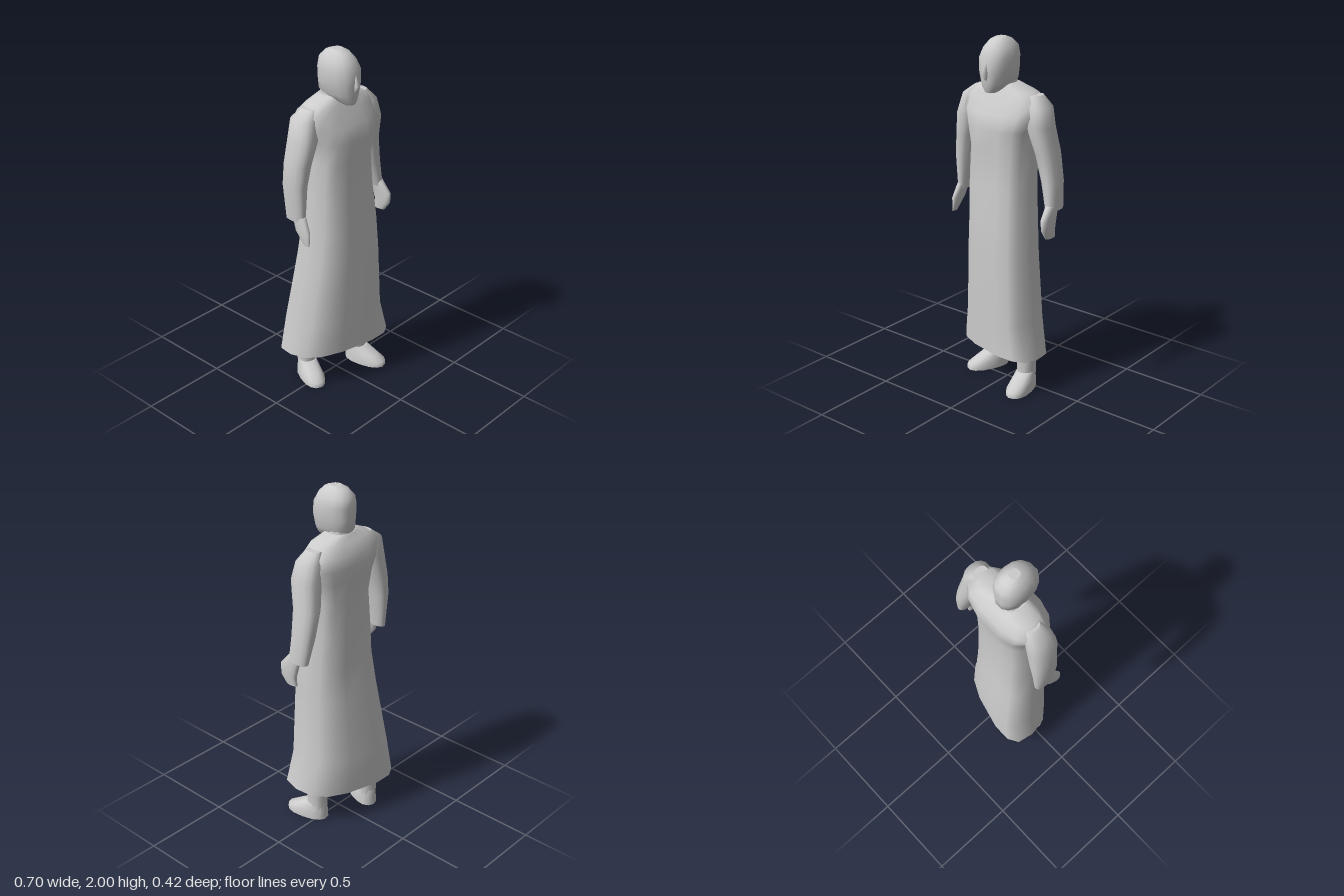
import * as THREE from 'three';

const SIDES = 14;
const grey = new THREE.MeshStandardMaterial({ color: 0xcccccc });
grey.name = 'pale grey';

// Smooth skin through rings [y, cx, cz, rx, rz, shear, tilt], listed upwards.
// A higher power makes the rings squarer; ends are closed with flat caps.
function loft(name, rings, power = 2.3) {
  const pos = [], idx = [];
  const bend = v => Math.sign(v) * Math.abs(v) ** (2 / power);
  const addRing = ([y, cx, cz, rx, rz, shear = 0, tilt = 0]) => {
    const start = pos.length / 3;
    for (let j = 0; j < SIDES; j++) {
      const a = (j / SIDES) * Math.PI * 2;
      const x = rx * bend(Math.cos(a));
      const z = rz * bend(Math.sin(a)) + shear * x;
      pos.push(cx + x, y + tilt * z, cz + z);
    }
    return start;
  };
  const starts = rings.map(addRing);
  for (let i = 0; i < rings.length - 1; i++) {
    for (let j = 0; j < SIDES; j++) {
      const k = (j + 1) % SIDES;
      const a = starts[i] + j, b = starts[i] + k, c = starts[i + 1] + j, d = starts[i + 1] + k;
      idx.push(a, c, b, b, c, d);
    }
  }
  for (const top of [false, true]) {
    const ring = top ? rings[rings.length - 1] : rings[0];
    const s = addRing(ring), mid = pos.length / 3;
    pos.push(ring[1], ring[0], ring[2]);
    for (let j = 0; j < SIDES; j++) {
      const k = (j + 1) % SIDES;
      if (top) idx.push(mid, s + k, s + j);
      else idx.push(mid, s + j, s + k);
    }
  }
  const geo = new THREE.BufferGeometry();
  geo.setAttribute('position', new THREE.Float32BufferAttribute(pos, 3));
  geo.setIndex(idx);
  geo.computeVertexNormals();
  const mesh = new THREE.Mesh(geo, grey);
  mesh.name = name;
  return mesh;
}

// Lower leg and foot, turned outwards at the ankle
function leg(name, x, z, turn) {
  const group = new THREE.Group();
  group.name = name;
  group.add(loft('foot', [
    [0, 0, 0.065, 0.066, 0.13],
    [0.03, 0, 0.065, 0.066, 0.128],
    [0.06, 0, 0.04, 0.058, 0.102],
    [0.1, 0, 0.005, 0.05, 0.062],
  ]));
  group.add(loft('shin', [
    [0.06, 0, 0, 0.05, 0.058],
    [0.13, 0, 0, 0.052, 0.056],
    [0.26, 0, 0, 0.062, 0.064],
  ]));
  group.position.set(x, 0, z);
  group.rotation.y = turn;
  return group;
}

export function createModel() {
  const model = new THREE.Group();
  model.name = 'robedFigure';

  // Long robe, its hem twisted to follow the stride
  model.add(loft('robe', [
    [0.21, -0.015, 0, 0.292, 0.182, 0.25, 0.1],
    [0.42, -0.02, 0, 0.25, 0.185, 0.22],
    [0.8, -0.01, 0.025, 0.22, 0.165, 0.15],
    [1.0, -0.005, 0.03, 0.205, 0.155, 0.1],
    [1.2, -0.01, 0.025, 0.195, 0.145, 0.05],
    [1.4, -0.005, 0.02, 0.187, 0.138],
    [1.52, 0, 0.02, 0.205, 0.156],
    [1.6, -0.005, 0.005, 0.24, 0.145],
    [1.67, -0.01, -0.01, 0.24, 0.12],
    [1.72, -0.01, 0, 0.19, 0.09],
    [1.755, -0.02, 0, 0.08, 0.065],
  ], 2.8));
  model.add(loft('neck', [
    [1.72, -0.02, 0, 0.075, 0.068],
    [1.82, -0.02, 0, 0.06, 0.058],
  ]));

  // Head
  model.add(loft('head', [
    [1.715, -0.02, 0.115, 0.03, 0.03],
    [1.74, -0.02, 0.058, 0.058, 0.098],
    [1.77, -0.02, 0.04, 0.075, 0.12],
    [1.83, -0.02, 0.043, 0.088, 0.123],
    [1.9, -0.02, 0.04, 0.093, 0.12],
    [1.95, -0.02, 0.03, 0.078, 0.105],
    [1.985, -0.02, 0.03, 0.052, 0.07],
    [2.0, -0.02, 0.03, 0.028, 0.03],
  ]));
  model.add(loft('nose', [
    [1.785, -0.02, 0.152, 0.012, 0.01],
    [1.825, -0.02, 0.163, 0.017, 0.021],
    [1.885, -0.02, 0.152, 0.006, 0.006],
  ], 2));

  // Sleeves
  model.add(loft('leftSleeve', [
    [1.1, 0.318, -0.005, 0.032, 0.065],
    [1.25, 0.293, -0.02, 0.05, 0.07],
    [1.4, 0.263, -0.018, 0.06, 0.077],
    [1.55, 0.235, 0.01, 0.068, 0.085],
    [1.65, 0.222, 0, 0.06, 0.075],
    [1.71, 0.19, -0.005, 0.035, 0.045],
  ]));
  model.add(loft('rightSleeve', [
    [1.1, -0.305, -0.01, 0.028, 0.065],
    [1.3, -0.303, -0.015, 0.048, 0.075],
    [1.42, -0.284, -0.012, 0.058, 0.08],
    [1.55, -0.256, 0, 0.068, 0.085],
    [1.66, -0.235, -0.01, 0.058, 0.075],
    [1.71, -0.19, -0.01, 0.035, 0.045],
  ]));

  // Hands
  model.add(loft('leftHand', [
    [0.95, 0.325, 0.04, 0.015, 0.038],
    [1.0, 0.327, 0.06, 0.022, 0.053],
    [1.06, 0.325, 0.055, 0.024, 0.063],
    [1.13, 0.318, 0.015, 0.025, 0.045],
  ]));
  model.add(loft('rightHand', [
    [0.975, -0.318, 0.08, 0.006, 0.02],
    [1.05, -0.315, 0.05, 0.02, 0.05],
    [1.13, -0.306, 0.015, 0.022, 0.045],
  ]));

  // Legs, left one forward
  model.add(leg('leftLeg', 0.155, 0.02, 0.2));
  model.add(leg('rightLeg', -0.15, -0.095, -0.42));
  return model;
}
